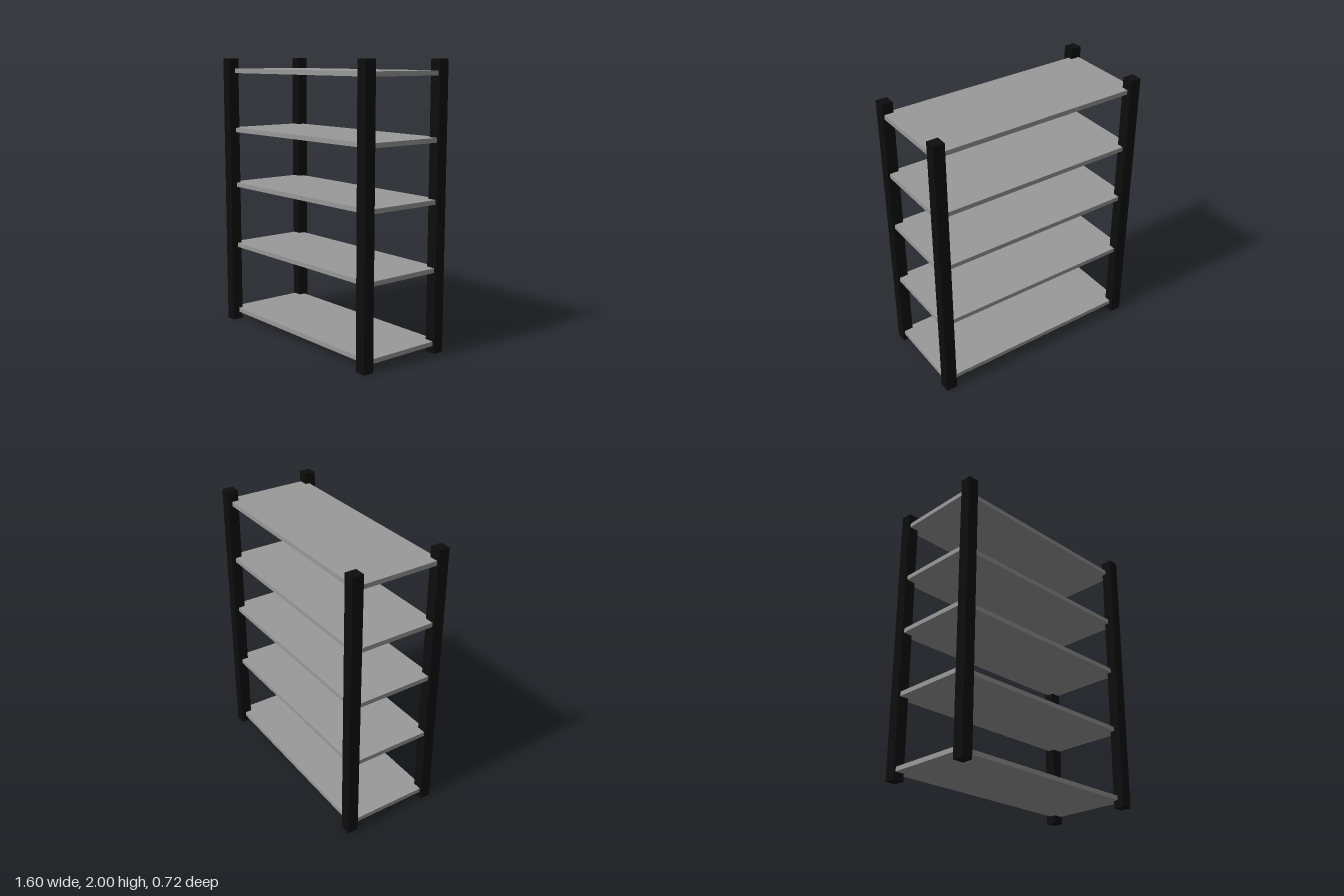
import * as THREE from 'three';

export function createModel() {
  const model = new THREE.Group();
  model.name = 'shelvingUnit';

  const black = new THREE.MeshStandardMaterial({ color: 0x0d0d0d });
  black.name = 'black';
  const grey = new THREE.MeshStandardMaterial({ color: 0x999999 });
  grey.name = 'grey';

  // Four square corner posts
  const postGeometry = new THREE.BoxGeometry(0.08, 2, 0.08);
  for (const [side, x] of [['Left', 0.76], ['Right', -0.76]]) {
    for (const [end, z] of [['front', 0.32], ['back', -0.32]]) {
      const post = new THREE.Mesh(postGeometry, black);
      post.name = `${end}${side}Post`;
      post.position.set(x, 1, z);
      model.add(post);
    }
  }

  // Five thin shelves, set slightly towards the back
  const shelfGeometry = new THREE.BoxGeometry(1.572, 0.032, 0.64);
  [0.07, 0.586, 1.054, 1.469, 1.908].forEach((y, i) => {
    const shelf = new THREE.Mesh(shelfGeometry, grey);
    shelf.name = `shelf${i + 1}`;
    shelf.position.set(0, y, -0.009);
    model.add(shelf);
  });

  return model;
}
